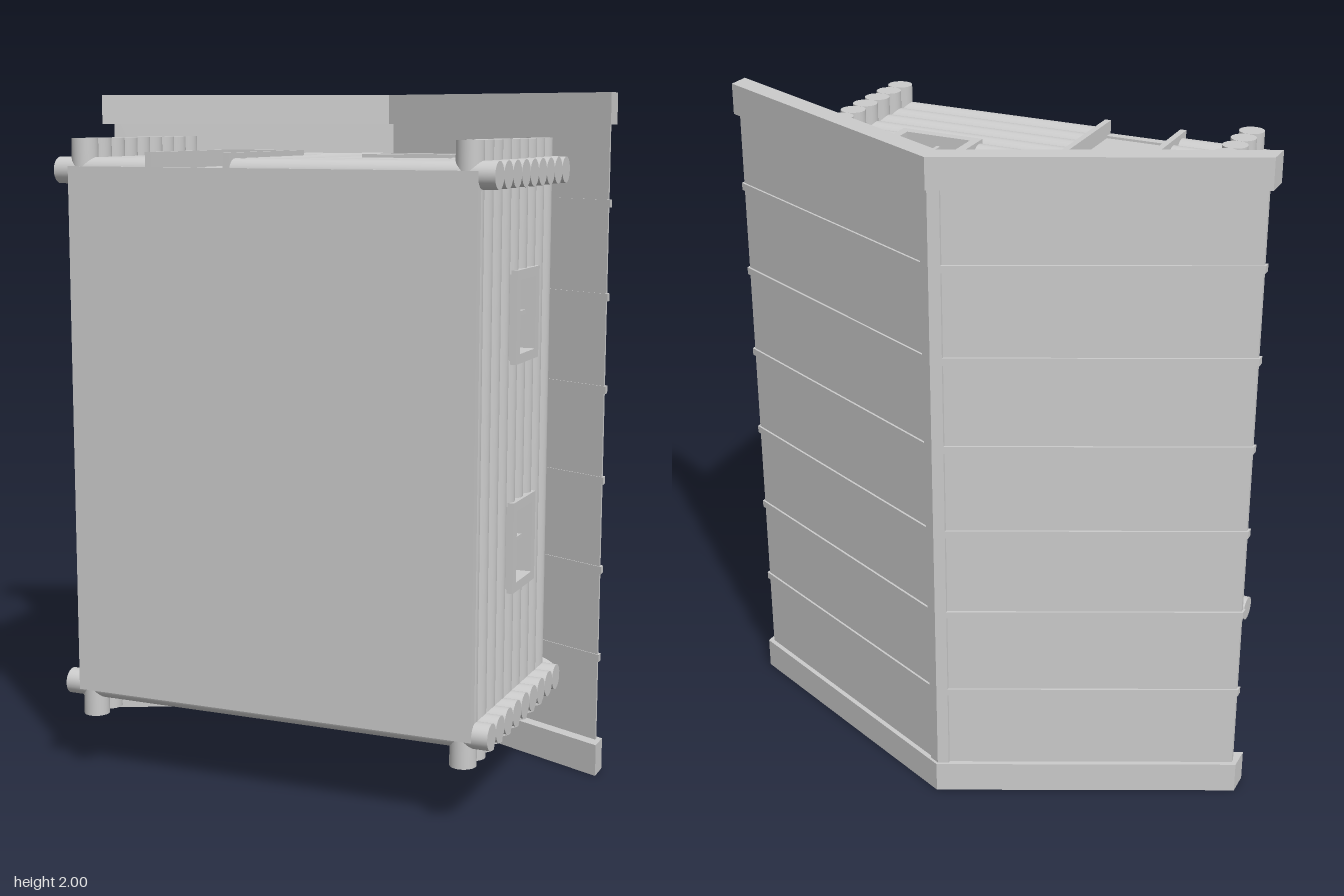
import * as THREE from 'three';

const R = 0.0378, STEP = 0.0755, BASE = 0.507;      // log radius, log spacing, floor level
const HALF_W = 0.5785, HALF_D = 0.7575;             // wall centre lines
const SLOPE = 0.46;
const grey = new THREE.MeshStandardMaterial({ color: 0xcccccc });

function add(parent, name, geometry, x = 0, y = 0, z = 0) {
  const mesh = new THREE.Mesh(geometry, grey);
  mesh.name = name;
  mesh.position.set(x, y, z);
  parent.add(mesh);
  return mesh;
}

// box given by its limits
function box(parent, name, x0, x1, y0, y1, z0, z1) {
  return add(parent, name, new THREE.BoxGeometry(x1 - x0, y1 - y0, z1 - z0),
    (x0 + x1) / 2, (y0 + y1) / 2, (z0 + z1) / 2);
}

const rowHeight = (row) => R + row * STEP;

// horizontal log from x0 to x1; arc = PI gives the upper half only
function log(parent, row, x0, x1, arc = Math.PI * 2) {
  const geometry = new THREE.CylinderGeometry(R, R, x1 - x0, 24, 1, false, 0, arc);
  geometry.rotateZ(Math.PI / 2);
  add(parent, 'log', geometry, (x0 + x1) / 2, rowHeight(row), 0);
}

// gable log, its ends cut along the slope of the roof
function gableLog(parent, row) {
  const geometry = new THREE.CylinderGeometry(R, R, 2, 24);
  geometry.rotateZ(Math.PI / 2);
  const p = geometry.attributes.position;
  for (let i = 0; i < p.count; i++) {
    const half = Math.max(0, (BASE + 0.48 - rowHeight(row) - p.getY(i)) / SLOPE);
    p.setX(i, Math.sign(p.getX(i)) * half);
  }
  geometry.computeVertexNormals();
  add(parent, 'gableLog', geometry, 0, rowHeight(row), 0);
}

// frame, recessed pane and glazing bars
function windowUnit(parent, x) {
  const g = new THREE.Group();
  g.name = 'window';
  g.position.x = x;
  parent.add(g);
  const [w, b, t, f] = [0.131, 0.314, 0.517, 0.027];
  for (const s of [-1, 1]) {
    const c = s * (w - f / 2);
    box(g, 'windowJamb', c - f / 2, c + f / 2, b, t, -0.03, 0.046);
  }
  box(g, 'windowSill', -w + f, w - f, b, b + 0.03, -0.03, 0.046);
  box(g, 'windowHead', -w + f, w - f, t - 0.03, t, -0.03, 0.046);
  box(g, 'windowPane', -w + f, w - f, b + 0.03, t - 0.03, -0.02, 0);
  box(g, 'verticalBar', -0.006, 0.006, b + 0.03, t - 0.03, 0, 0.015);
  const m = (b + t) / 2;
  box(g, 'crossBar', -w + f, w - f, m - 0.005, m + 0.005, 0, 0.014);
}

function doorUnit(parent, x0, x1) {
  const g = new THREE.Group();
  g.name = 'door';
  parent.add(g);
  box(g, 'doorJamb', x0, x0 + 0.019, 0, 0.495, -0.03, 0.053);
  box(g, 'doorJamb', x1 - 0.019, x1, 0, 0.495, -0.03, 0.053);
  box(g, 'doorHead', x0 + 0.019, x1 - 0.019, 0.472, 0.495, -0.03, 0.053);
  box(g, 'doorPanel', x0 + 0.019, x1 - 0.019, 0, 0.472, -0.02, 0.005);
}

// wall of stacked logs, broken at openings [x0, x1, firstRow, lastRow]
function wall(name, half, openings) {
  const g = new THREE.Group();
  g.name = name;
  for (let row = 0; row < 9; row++) {
    let x = -half;
    for (const [x0, x1, first, last] of openings) {
      if (row < first || row > last) continue;
      log(g, row, x, x0);
      x = x1;
    }
    log(g, row, x, half);
  }
  return g;
}

// roof layer: chevron section run from z0 to z1
function chevron(parent, name, half, top, thick, z0, z1) {
  const drop = SLOPE * half;
  const shape = new THREE.Shape([
    [0, top], [-half, top - drop], [-half, top - drop - thick],
    [0, top - thick], [half, top - drop - thick], [half, top - drop],
  ].map(([x, y]) => new THREE.Vector2(x, y + BASE)));
  add(parent, name, new THREE.ExtrudeGeometry(shape, { depth: z1 - z0, bevelEnabled: false }), 0, 0, z0);
}

export function createModel() {
  const model = new THREE.Group();
  model.name = 'logCabin';
  // the cabin lies on its back wall, its roof turned to the rear
  const cabin = new THREE.Group();
  cabin.name = 'cabin';
  cabin.rotation.x = -Math.PI / 2;
  cabin.position.set(0, 1, BASE);
  model.add(cabin);

  const house = new THREE.Group();
  house.name = 'house';
  house.position.set(0.0115, 0, 0.0245);
  cabin.add(house);

  // front wall with door and window
  const d0 = -0.364, d1 = -0.103, wx = 0.29, ww = 0.12;
  const front = wall('frontWall', 0.66, [[d0 + 0.01, d1 - 0.01, 0, 6], [wx - ww, wx + ww, 4, 6]]);
  front.position.z = HALF_D;
  log(front, 6, d0, d1, Math.PI);
  doorUnit(front, d0, d1);
  windowUnit(front, wx);

  // plain back wall
  const back = wall('backWall', 0.66, []);
  back.position.z = -HALF_D;
  back.rotation.y = Math.PI;
  for (const w of [front, back]) {
    for (let row = 9; row < 13; row++) gableLog(w, row);
    house.add(w);
  }

  // side walls with two windows each
  for (const s of [-1, 1]) {
    const spots = [-0.359 * s, 0.2955 * s].sort((a, b) => a - b);
    const side = wall('sideWall', 0.848, spots.map((x) => [x - ww, x + ww, 4, 6]));
    spots.forEach((x) => windowUnit(side, x));
    side.position.x = s * HALF_W;
    side.rotation.y = s * Math.PI / 2;
    house.add(side);
  }

  // floor slab
  box(house, 'floor', -0.614, 0.614, 0, 0.03, -HALF_D - 0.012, HALF_D + 0.012);

  // roof: sheet, end boards, battens and ridge cap
  const roof = new THREE.Group();
  roof.name = 'roof';
  cabin.add(roof);
  chevron(roof, 'roofSheet', 0.805, 0.492, 0.012, -0.95, 0.95);
  chevron(roof, 'endBoard', 0.82, 0.508, 0.07, 0.91, 1);
  chevron(roof, 'endBoard', 0.82, 0.508, 0.07, -1, -0.905);
  chevron(roof, 'ridgeCap', 0.03, 0.499, 0.015, -0.91, 0.915);
  for (let i = 0; i < 6; i++) {
    const z = -0.652 + i * 0.268;
    chevron(roof, 'batten', 0.811, 0.499, 0.022, z - 0.011, z + 0.011);
  }
  return model;
}
